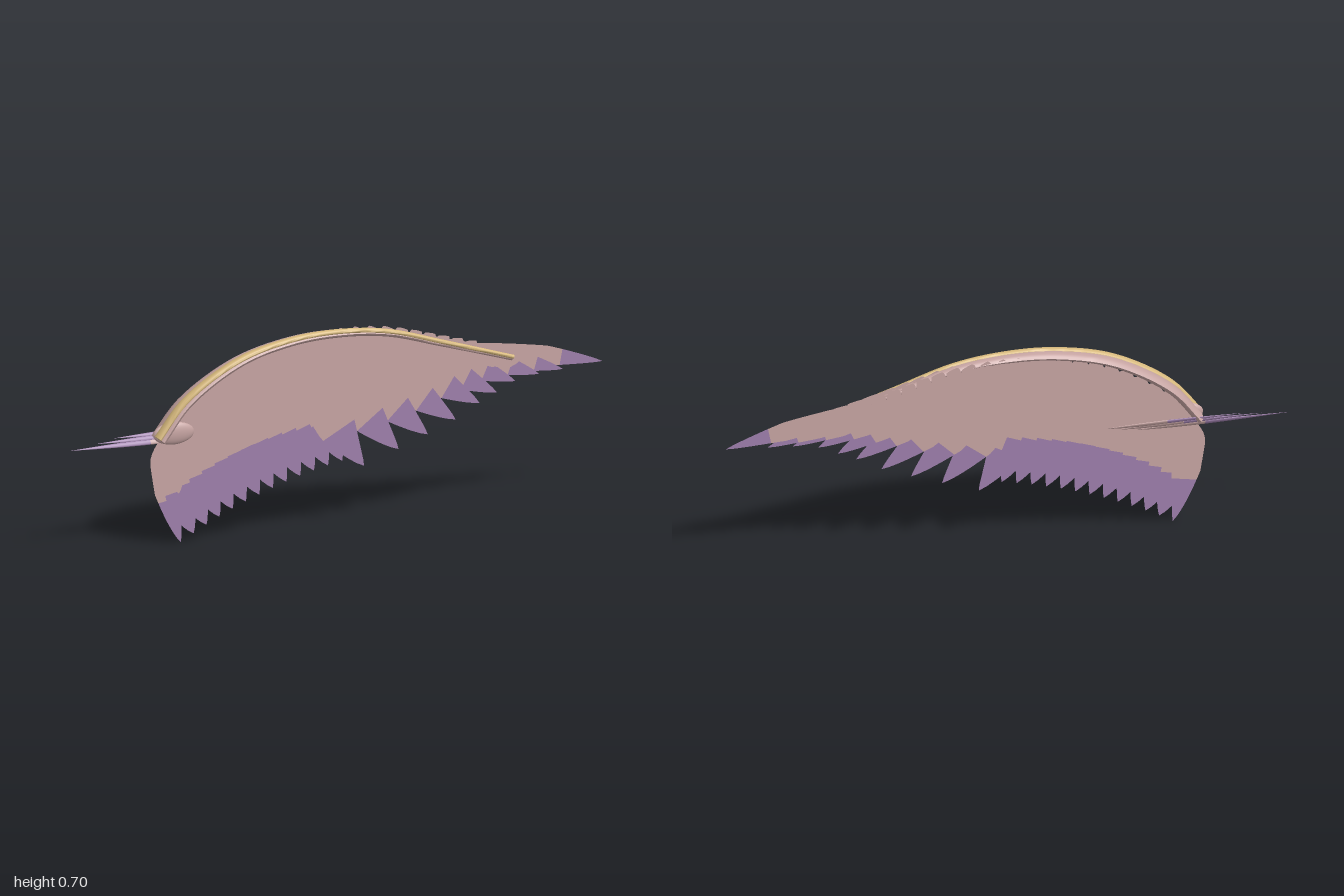
import * as THREE from 'three';
import { toCreasedNormals } from 'three/addons/utils/BufferGeometryUtils.js';

const mat = (name, color, side = THREE.FrontSide) => {
  const m = new THREE.MeshStandardMaterial({ color, side });
  m.name = name;
  return m;
};
const lerp = THREE.MathUtils.lerp;

export function createModel() {
  const wing = new THREE.Group();
  wing.name = 'wing';
  const skin = mat('dusty pink', 0xc6a4a2);
  const vane = mat('dusty pink feather', 0xc6a4a2, THREE.DoubleSide);
  const tipMat = mat('purple feather tip', 0x9d7eab, THREE.DoubleSide);
  const gold = mat('gold', 0xd6b87c);

  // Leading edge arch, from shoulder to wing tip
  const arch = new THREE.CatmullRomCurve3([
    [-0.68, 0.38], [-0.58, 0.50], [-0.385, 0.62], [-0.2, 0.67], [-0.03, 0.683],
    [0.17, 0.666], [0.385, 0.605], [0.65, 0.525],
  ].map(([x, y]) => new THREE.Vector3(x, y, 0)));
  const at = (u) => arch.getPointAt(THREE.MathUtils.clamp(u, 0, 1));

  // Tapering elliptical bar swept along the arch, with closed ends
  function bar(name, material, thick, wide, lift, shift) {
    const rings = 48, sides = 12, pos = [], idx = [];
    for (let i = -1; i <= rings + 1; i++) {
      const u = THREE.MathUtils.clamp(i / rings, 0, 1);
      const p = arch.getPointAt(u), t = arch.getTangentAt(u);
      const s = i < 0 || i > rings ? 0 : 1;
      for (let j = 0; j < sides; j++) {
        const a = (j / sides) * Math.PI * 2;
        const n = lerp(...lift, u) + Math.cos(a) * lerp(...thick, u) * s;
        const z = lerp(...shift, u) + Math.sin(a) * lerp(...wide, u) * s;
        pos.push(p.x - t.y * n, p.y + t.x * n, z);
      }
    }
    for (let i = 0; i < rings + 2; i++) for (let j = 0; j < sides; j++) {
      const a = i * sides + j, b = i * sides + ((j + 1) % sides);
      idx.push(a, b, a + sides, b, b + sides, a + sides);
    }
    const g = new THREE.BufferGeometry();
    g.setAttribute('position', new THREE.Float32BufferAttribute(pos, 3));
    g.setIndex(idx);
    const mesh = new THREE.Mesh(toCreasedNormals(g, 0.9), material);
    mesh.name = name;
    wing.add(mesh);
  }
  bar('armBar', skin, [0.018, 0.009], [0.05, 0.011], [0, 0], [0, 0]);
  bar('goldTrim', gold, [0.012, 0.007], [0.022, 0.007], [0.014, 0.006], [0.022, 0.011]);

  // Shoulder joint
  const joint = new THREE.Mesh(new THREE.SphereGeometry(1, 24, 16), skin);
  joint.name = 'shoulderJoint';
  joint.scale.set(0.077, 0.04, 0.016);
  joint.position.set(-0.622, 0.397, 0);
  wing.add(joint);

  // Half width along a feather: narrow root, full middle, pointed end
  const profile = (t, taper, root) => {
    const base = root + (1 - root) * Math.sin(Math.min(t / 0.2, 1) * Math.PI / 2);
    return base * Math.pow(Math.min((1 - t) / taper, 1), 0.8);
  };

  // One flat, bowed feather; the part beyond "split" is the coloured tip.
  // "hook" sets the vane off to one side so that the point sweeps outward.
  function feather(parent, name, root, tip, half, { bow = 0, hook = 0, z = 0, split = 1, taper = 0.3 }) {
    const a = new THREE.Vector2(...root), b = new THREE.Vector2(...tip);
    const d = b.clone().sub(a).normalize();
    const c = a.clone().add(b).multiplyScalar(0.5).add(new THREE.Vector2(-d.y, d.x).multiplyScalar(bow * 2));
    const curve = new THREE.QuadraticBezierCurve(a, c, b);
    const g = new THREE.BufferGeometry(), pos = [], idx = [];
    const steps = 24, ts = [];
    for (let i = 0; i <= steps; i++) ts.push(i / steps);
    ts[Math.round(split * steps)] = split;
    ts.forEach((t, i) => {
      const p = curve.getPoint(t), q = curve.getTangent(t), w = half * profile(t, taper, 0.15);
      const off = -hook * half * Math.min(t * 4, 1) * (1 - t ** 6);
      const l = off + w, r = off - w;
      pos.push(p.x - q.y * l, p.y + q.x * l, z, p.x - q.y * r, p.y + q.x * r, z);
      if (i < steps) idx.push(2 * i, 2 * i + 1, 2 * i + 2, 2 * i + 1, 2 * i + 3, 2 * i + 2);
    });
    g.setAttribute('position', new THREE.Float32BufferAttribute(pos, 3));
    g.setIndex(idx);
    g.computeVertexNormals();
    const cut = Math.round(split * steps) * 6;
    g.addGroup(0, cut, 0);
    if (cut < idx.length) g.addGroup(cut, idx.length - cut, 1);
    const mesh = new THREE.Mesh(g, [vane, tipMat]);
    mesh.name = name;
    parent.add(mesh);
  }
  const row = (name) => {
    const g = new THREE.Group();
    g.name = name;
    wing.add(g);
    return g;
  };

  // Secondary flight feathers; the innermost is rounder
  const secondaries = row('secondaryFeathers');
  const tipLine = new THREE.QuadraticBezierCurve(
    new THREE.Vector2(-0.585, 0.002), new THREE.Vector2(-0.3, 0.165), new THREE.Vector2(0.02, 0.225));
  for (let i = 0; i < 13; i++) {
    const k = i / 12, p = at(0.01 + 0.41 * k), e = tipLine.getPoint(k);
    const len = Math.hypot(e.x - p.x, e.y - p.y);
    feather(secondaries, 'secondaryFeather', [p.x + 0.02, p.y - lerp(0.01, 0.04, k)], [e.x, e.y], 0.052, {
      bow: lerp(-0.004, 0.015, k), hook: i ? 0.4 : 0.2, z: -0.021 + i * 0.0003,
      split: 1 - (0.165 + 0.025 * Math.sin(k * Math.PI * 0.8)) / len, taper: i ? 0.24 : 0.5,
    });
  }

  // Primary flight feathers fan out to the wing tip
  const primaries = row('primaryFeathers');
  [[0.1, 0.2], [0.23, 0.245], [0.34, 0.285], [0.445, 0.326], [0.535, 0.375], [0.6, 0.405],
    [0.67, 0.437], [0.76, 0.453], [0.85, 0.46], [0.998, 0.472]].forEach((e, i) => {
    const k = i / 9, p = at(0.42 + 0.38 * k);
    const len = Math.hypot(e[0] - p.x, e[1] - p.y);
    feather(primaries, 'primaryFeather', [p.x, p.y - 0.04], e, lerp(0.07, 0.036, k), {
      bow: lerp(0.022, 0.013, k), hook: lerp(0.45, 0.1, k), z: -0.012 - i * 0.0004,
      split: 1 - (i === 9 ? 0.16 : lerp(0.175, 0.1, k)) / len, taper: 0.34,
    });
  });

  // Overlapping covert rows on the front, and a short row on the back
  const coverts = (name, l0, l1, z) => {
    const g = row(name);
    for (let i = 0; i < 24; i++) {
      const k = i / 23, p = at(lerp(0.03, 0.92, k));
      const ang = lerp(-1.35, -0.35, k), len = lerp(l0, l1, k);
      feather(g, 'covertFeather', [p.x, p.y - 0.016], [p.x + Math.cos(ang) * len, p.y + Math.sin(ang) * len],
        0.034, { bow: 0.004, z: z - i * 0.00004, taper: 0.25 });
    }
  };
  coverts('longCoverts', 0.24, 0.15, -0.004);
  coverts('shortCoverts', 0.13, 0.09, 0.003);
  coverts('backCoverts', 0.09, 0.05, -0.025);

  // Three slim spindle-shaped feathers behind the shoulder
  const slim = row('shoulderFeathers');
  const spindle = (from, to) => {
    const pts = [];
    for (let i = 0; i <= 8; i++) {
      const t = lerp(from, to, i / 8);
      pts.push(new THREE.Vector2(Math.sin(Math.PI * t ** 0.8), t));
    }
    return new THREE.LatheGeometry(pts, 8);
  };
  [[-0.45, -1, 0.368, -0.029], [-0.39, -0.9, 0.38, -0.035], [-0.34, -0.83, 0.391, -0.041]].forEach(([x0, x1, y, z]) => {
    const f = new THREE.Group();
    f.name = 'slimFeather';
    [['slimVane', 0, 0.45, skin], ['slimTip', 0.45, 1, tipMat]].forEach(([name, from, to, m]) => {
      const mesh = new THREE.Mesh(spindle(from, to), m);
      mesh.name = name;
      mesh.scale.set(0.011, x0 - x1, 0.004);
      mesh.rotation.z = Math.PI / 2;
      f.add(mesh);
    });
    f.position.set(x0, y, z);
    f.rotation.x = -0.6;
    slim.add(f);
  });

  return wing;
}
